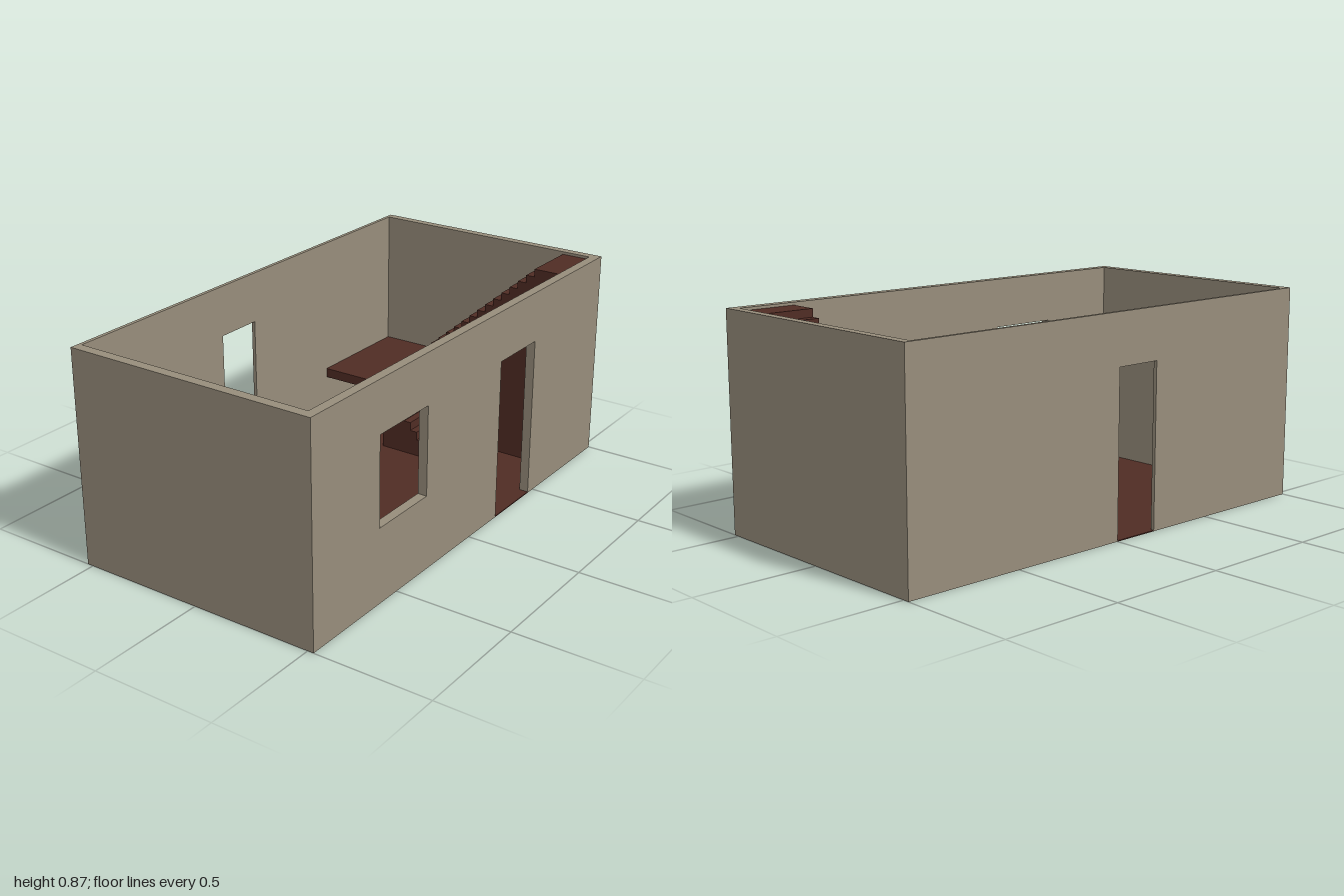
import * as THREE from 'three';

const H = 0.868;                       // wall height
const X0 = -0.51, X1 = 0.487;          // inner faces of the side walls
const Z0 = -0.965, Z1 = 0.96;          // inner faces of the back and front walls
const FLOOR = 0.004, LANDING = 0.296, TOP = 0.857;

export function createModel() {
  const model = new THREE.Group();
  const plaster = new THREE.MeshStandardMaterial({ color: 0x978d7b });
  plaster.name = 'plaster';
  const wood = new THREE.MeshStandardMaterial({ color: 0x502c24 });
  wood.name = 'darkWood';

  const add = (name, geometry, material) => {
    const mesh = new THREE.Mesh(geometry, material);
    mesh.name = name;
    model.add(mesh);
    return mesh;
  };
  const box = (name, material, x0, x1, y0, y1, z0, z1) =>
    add(name, new THREE.BoxGeometry(x1 - x0, y1 - y0, z1 - z0), material)
      .position.set((x0 + x1) / 2, (y0 + y1) / 2, (z0 + z1) / 2);
  const points = (list) => list.map(([x, y]) => new THREE.Vector2(x, y));
  const extrude = (shape, depth) => new THREE.ExtrudeGeometry(shape, { depth, bevelEnabled: false });

  // End walls
  box('frontWall', plaster, -0.525, 0.525, 0, H, Z1, 1);
  box('backWall', plaster, -0.525, 0.525, 0, H, -1, Z0);

  // Side walls: a doorway cut from the bottom edge, and optionally a window
  const sideWall = (name, outerX, depth, door, window) => {
    const shape = new THREE.Shape(points([
      [Z0, 0], [door[0], 0], [door[0], 0.663], [door[1], 0.663], [door[1], 0],
      [Z1, 0], [Z1, H], [Z0, H],
    ]));
    if (window) {
      const [a, b, c, d] = window;
      shape.holes.push(new THREE.Path(points([[a, c], [a, d], [b, d], [b, c]])));
    }
    const wall = add(name, extrude(shape, depth), plaster);
    wall.rotation.y = -Math.PI / 2;
    wall.position.x = outerX;
  };
  sideWall('windowWall', 0.525, 0.525 - X1, [-0.46, -0.2], [0.31, 0.61, 0.305, 0.663]);
  sideWall('doorWall', X0, 0.525 + X0, [0, 0.2]);

  // Floor and the thresholds in both doorways
  box('floor', wood, X0, X1, 0, FLOOR, Z0, Z1);
  box('wideThreshold', wood, X1, 0.525, 0, FLOOR, -0.46, -0.2);
  box('narrowThreshold', wood, -0.525, X0, 0, FLOOR, 0, 0.2);

  // Half landing
  const LZ = -0.487, MZ = -0.725;
  box('landing', wood, X0, -0.235, LANDING - 0.04, LANDING, Z0, LZ);
  box('landingEdge', wood, -0.235, -0.2, LANDING - 0.04, LANDING, MZ, LZ);

  // A solid flight: risers from xStart to xEnd, last tread running on to xStop
  const flight = (name, xStart, xEnd, xStop, y0, y1, risers, z0, z1) => {
    const profile = [[xStart, FLOOR]];
    for (let i = 0; i < risers; i++) {
      const x = xStart + (xEnd - xStart) * i / (risers - 1);
      profile.push([x, y0 + (y1 - y0) * i / risers], [x, y0 + (y1 - y0) * (i + 1) / risers]);
    }
    profile.push([xStop, y1], [xStop, FLOOR]);
    if (y0 === FLOOR) profile.shift();
    add(name, extrude(new THREE.Shape(points(profile)), z1 - z0), wood).position.z = z0;
  };
  flight('upperFlight', -0.235, 0.365, X1, LANDING, TOP, 17, Z0, MZ);
  flight('lowerFlight', 0.03, -0.2, -0.21, FLOOR, LANDING, 8, MZ, LZ);

  return model;
}
